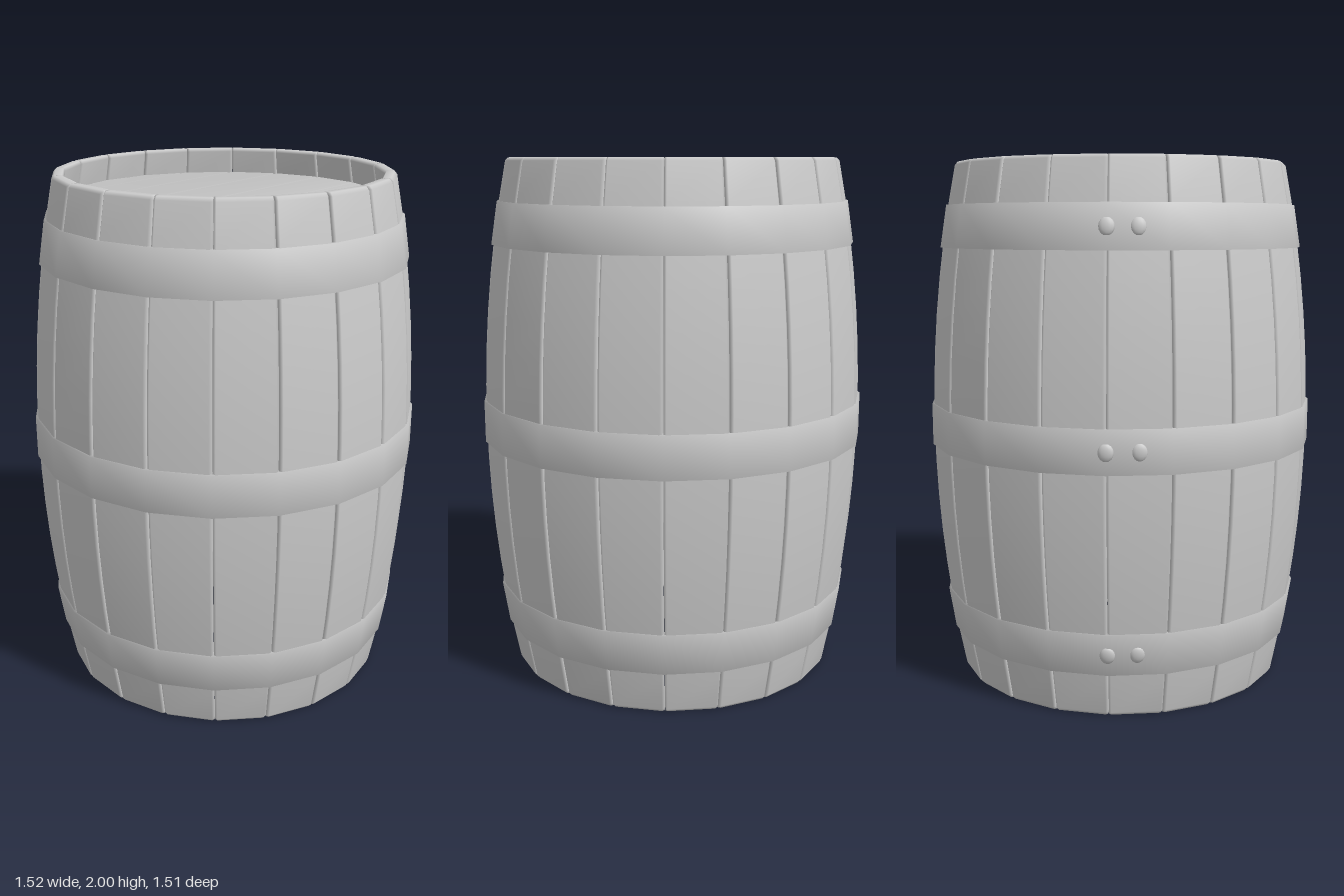
import * as THREE from 'three';

const SIDES = 20;
const STEP = (Math.PI * 2) / SIDES;
const material = new THREE.MeshStandardMaterial({ color: 0xcccccc });

// Outer radius of the bulging body at height y
const bodyRadius = (y) => 0.64 + 0.105 * (1 - (y - 1) ** 2);

function addMesh(parent, name, geometry) {
  const mesh = new THREE.Mesh(geometry, material);
  mesh.name = name;
  parent.add(mesh);
  return mesh;
}

function indexedGeometry(positions, index) {
  const geo = new THREE.BufferGeometry();
  geo.setAttribute('position', new THREE.Float32BufferAttribute(positions, 3));
  geo.setIndex(index);
  geo.computeVertexNormals();
  return geo;
}

// One curved stave with chamfered long edges, lofted from bottom to top
function staveGeometry() {
  const heights = [0, 0.012];
  for (let i = 1; i < 14; i++) heights.push((i * 2) / 14);
  heights.push(1.988, 2);
  const positions = [], index = [];
  heights.forEach((y) => {
    const inset = y === 0 || y === 2 ? 0.008 : 0;
    const ro = bodyRadius(y) - inset;
    const ri = bodyRadius(y) - 0.045 + inset;
    const a0 = 0.002, a1 = STEP - 0.002, c = 0.014;
    const section = [
      [a0, ro - 0.008], [a0 + c, ro], [a1 - c, ro], [a1, ro - 0.008],
      [a1, ri + 0.006], [a1 - c, ri], [a0 + c, ri], [a0, ri + 0.006],
    ];
    section.forEach(([a, r]) => positions.push(r * Math.sin(a), y, r * Math.cos(a)));
  });
  const n = 8, last = (heights.length - 1) * n;
  for (let k = 0; k < last; k += n) {
    for (let i = 0; i < n; i++) {
      const j = (i + 1) % n;
      index.push(k + i, k + j, k + n + j, k + i, k + n + j, k + n + i);
    }
  }
  // End caps as strips between the outer and inner edges
  [[0, 7, 1], [1, 7, 6], [1, 6, 2], [2, 6, 5], [2, 5, 3], [3, 5, 4]].forEach(([a, b, c]) => {
    index.push(a, b, c, last + a, last + c, last + b);
  });
  return indexedGeometry(positions, index);
}

// Round head of planks running front to back, with shallow grooves between them
function headGeometry(radius) {
  const positions = [], index = [], normals = [];
  for (let p = -5; p < 5; p++) {
    const x0 = radius * Math.sin(p * STEP), x1 = radius * Math.sin((p + 1) * STEP);
    const z0 = radius * Math.cos(p * STEP), z1 = radius * Math.cos((p + 1) * STEP);
    const base = positions.length / 3;
    [0, 0.05, 0.95, 1].forEach((t, k) => {
      const x = x0 + (x1 - x0) * t, z = z0 + (z1 - z0) * t;
      const edge = k === 0 || k === 3;
      const y = edge ? -0.008 : 0;
      const lean = edge ? (k === 0 ? -0.35 : 0.35) : 0;
      // Normals lean outward at the plank ends for a softly rounded look
      for (const s of [-1, 1]) {
        positions.push(x, y, s * z);
        const n = new THREE.Vector3(x * 0.4 + lean, 1, s * z * 1.0).normalize();
        normals.push(n.x, n.y, n.z);
      }
    });
    for (let k = 0; k < 3; k++) {
      const b0 = base + k * 2, f0 = b0 + 1, b1 = b0 + 2, f1 = b0 + 3;
      index.push(f0, f1, b1, f0, b1, b0);
    }
  }
  const geo = indexedGeometry(positions, index);
  geo.setAttribute('normal', new THREE.Float32BufferAttribute(normals, 3));
  return geo;
}

// Metal band following the body, with edges softened by shared normals
function hoopGeometry(y0, y1) {
  const r0 = bodyRadius(y0), r1 = bodyRadius(y1), out = 0.009;
  const profile = [
    [r0 - 0.03, y0], [r0 + out, y0], [r1 + out, y1], [r1 - 0.03, y1],
  ].map(([r, y]) => new THREE.Vector2(r, y));
  return new THREE.LatheGeometry(profile, SIDES);
}

export function createModel() {
  const barrel = new THREE.Group();
  barrel.name = 'barrel';

  // Staves
  const staves = new THREE.Group();
  staves.name = 'staves';
  barrel.add(staves);
  const stave = staveGeometry();
  for (let i = 0; i < SIDES; i++) addMesh(staves, 'stave', stave).rotation.y = i * STEP;

  // Recessed heads
  const head = headGeometry(0.63);
  addMesh(barrel, 'topHead', head).position.y = 1.9;
  const bottom = addMesh(barrel, 'bottomHead', head);
  bottom.position.y = 0.1;
  bottom.rotation.x = Math.PI;

  // Hoops, each with a pair of rivets on the right side
  const rivet = new THREE.SphereGeometry(1, 12, 8);
  [['bottomHoop', 0.17, 0.33], ['middleHoop', 0.92, 1.08], ['topHoop', 1.68, 1.84]].forEach(([name, y0, y1]) => {
    addMesh(barrel, name, hoopGeometry(y0, y1));
    const y = (y0 + y1) / 2;
    const r = (bodyRadius(y0) + bodyRadius(y1)) / 2 + 0.006;
    const tilt = Math.atan2(bodyRadius(y1) - bodyRadius(y0), y1 - y0);
    for (const a of [0, STEP / 2]) {
      const mount = new THREE.Group();
      mount.name = 'rivetMount';
      mount.rotation.y = a;
      barrel.add(mount);
      const head = addMesh(mount, 'rivet', rivet);
      head.position.set(-r * (a ? Math.cos(STEP / 2) : 1), y, 0);
      head.rotation.z = tilt;
      head.scale.set(0.013, 0.032, 0.028);
    }
  });
  return barrel;
}
